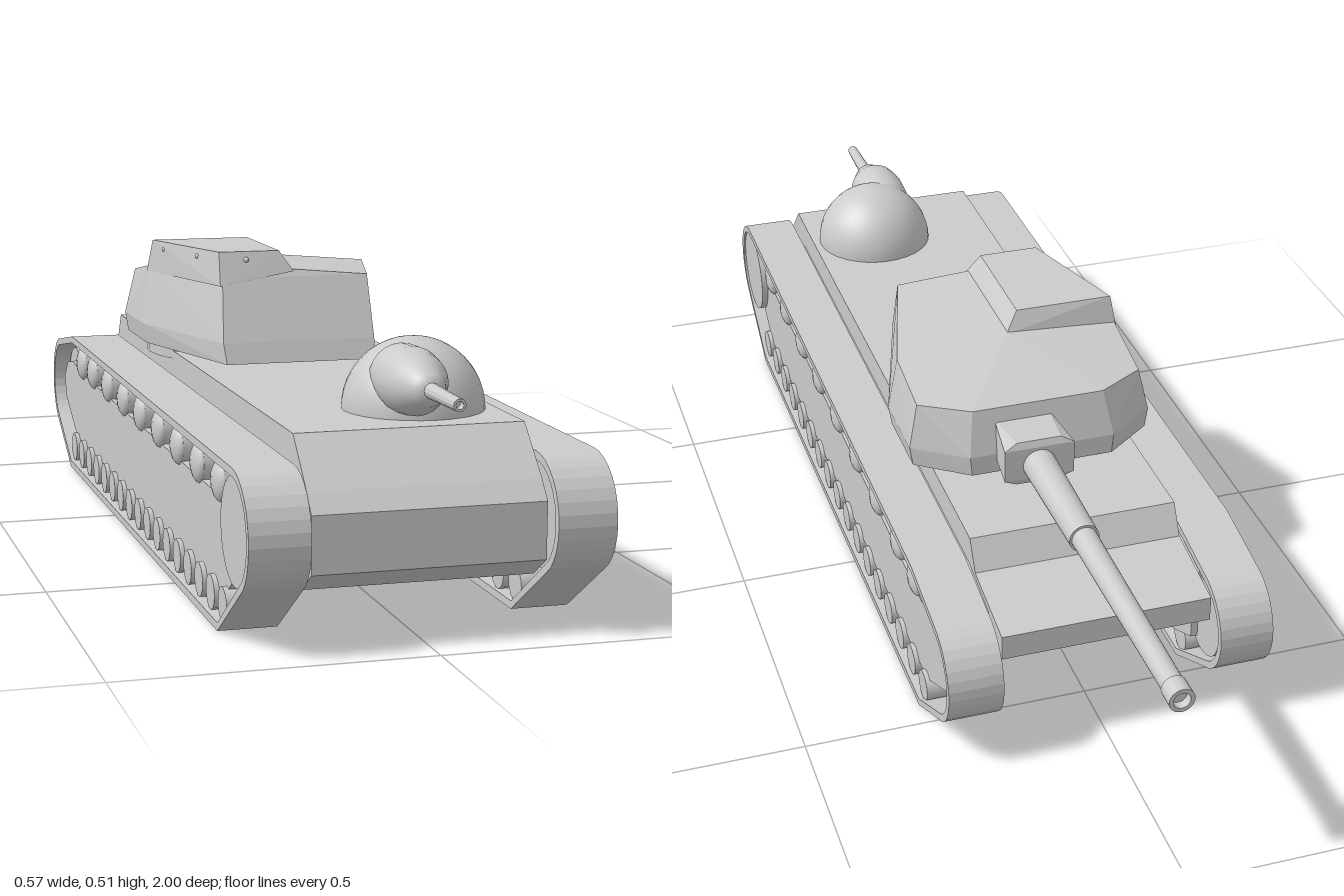
import * as THREE from 'three';
import { ConvexGeometry } from 'three/addons/geometries/ConvexGeometry.js';

const flat = new THREE.MeshStandardMaterial({ color: 0xcccccc, flatShading: true });
const smooth = new THREE.MeshStandardMaterial({ color: 0xcccccc });

function add(parent, name, geometry, material = flat) {
  const mesh = new THREE.Mesh(geometry, material);
  mesh.name = name;
  parent.add(mesh);
  return mesh;
}

const toPoints = (list) => list.map(([a, b]) => new THREE.Vector2(a, b));

// Side profile in (z, y), extruded across x from x0 to x1
function sideExtrude(points, x0, x1, hole) {
  const shape = new THREE.Shape(toPoints(points));
  if (hole) shape.holes.push(new THREE.Path(toPoints(hole)));
  const g = new THREE.ExtrudeGeometry(shape, { depth: x1 - x0, bevelEnabled: false });
  return g.rotateY(-Math.PI / 2).translate(x1, 0, 0);
}

// Cylinder lying across x
function axle(radius, x0, x1, y, z, sides = 24) {
  return new THREE.CylinderGeometry(radius, radius, x1 - x0, sides)
    .rotateZ(Math.PI / 2).translate((x0 + x1) / 2, y, z);
}

// Lathe along z from [radius, z] pairs listed by rising z
function zLathe(profile, x, y, sides = 24) {
  return new THREE.LatheGeometry(toPoints(profile), sides)
    .rotateX(Math.PI / 2).translate(x, y, 0);
}

const convex = (list) => new ConvexGeometry(list.map((p) => new THREE.Vector3(...p)));

// Closed track outline, shrunk inward by d
function trackLoop(d) {
  const pts = [[-0.45, d], [0.79, d]];
  const arc = (z, y, r, a0, a1, n) => {
    for (let i = 0; i <= n; i++) {
      const a = THREE.MathUtils.degToRad(a0 + (a1 - a0) * i / n);
      pts.push([z + (r - d) * Math.cos(a), y + (r - d) * Math.sin(a)]);
    }
  };
  arc(0.881, 0.176, 0.097, -48, 90, 12);
  pts.push([-0.42, 0.273 - d]);
  arc(-0.55, 0.157, 0.092, 105, 240, 12);
  return pts;
}

// One running gear unit on the +x side
function buildRunningGear() {
  const gear = new THREE.Group();
  add(gear, 'trackBand', sideExtrude(trackLoop(0), 0.191, 0.286, trackLoop(0.013)));
  add(gear, 'innerWall', sideExtrude([
    [0.8, 0.06], [0.8, 0.26], [-0.42, 0.26], [-0.53, 0.235], [-0.53, 0.1], [-0.45, 0.06],
  ], 0.183, 0.225));
  add(gear, 'sidePlate', sideExtrude([
    [0.86, 0.11], [0.8, 0.2], [-0.42, 0.2], [-0.5, 0.21], [-0.56, 0.198],
    [-0.595, 0.165], [-0.585, 0.125], [-0.45, 0.053], [0.78, 0.053],
  ], 0.2, 0.27));
  add(gear, 'driveWheel', axle(0.084, 0.195, 0.282, 0.176, 0.881, 32), smooth);
  add(gear, 'idlerWheel', axle(0.072, 0.195, 0.255, 0.157, -0.55, 32), smooth);

  // Return rollers with domed outer caps
  for (const z of [0.743, 0.604, 0.46, 0.315, 0.166, 0.02, -0.128, -0.273, -0.385]) {
    add(gear, 'returnRoller', axle(0.033, 0.2, 0.268, 0.223, z, 14), smooth);
    const cap = add(gear, 'rollerCap', new THREE.SphereGeometry(0.033, 14, 8), smooth);
    cap.scale.x = 0.45;
    cap.position.set(0.268, 0.223, z);
  }
  // Road wheels
  for (let i = 0; i < 17; i++) {
    add(gear, 'roadWheel', axle(0.028, 0.197, 0.278, 0.041, 0.79 - i * 0.0775, 14), smooth);
  }
  return gear;
}

function buildTurret() {
  const turret = new THREE.Group();
  turret.name = 'turret';
  add(turret, 'turretRing',
    new THREE.CylinderGeometry(0.207, 0.207, 0.025, 48).translate(0, 0.311, -0.045), smooth);

  // Faceted shell: bottom and waist rings, then the sloping roof
  const plan = [[0.135, 0.265], [0.222, -0.04], [0.222, -0.185], [0.13, -0.25],
    [-0.135, -0.25], [-0.224, -0.185], [-0.224, -0.02], [-0.14, 0.265]];
  const shell = [];
  for (const [x, z] of plan) {
    shell.push([x * 0.975, 0.319, z], [x, 0.355, z > 0 ? z - 0.012 : z]);
  }
  shell.push([0.135, 0.463, 0.207], [0.206, 0.457, -0.05], [0.206, 0.437, -0.18],
    [0.12, 0.437, -0.23], [-0.12, 0.437, -0.23], [-0.205, 0.437, -0.18],
    [-0.208, 0.46, -0.04], [-0.13, 0.463, 0.207], [0, 0.475, 0.2], [0, 0.475, -0.05]);
  add(turret, 'turretShell', convex(shell));

  // Raised roof on the right half
  add(turret, 'raisedRoof', convex([
    [-0.203, 0.508, -0.03], [-0.133, 0.508, 0.193], [-0.024, 0.508, 0.193], [-0.024, 0.508, -0.03],
    [-0.211, 0.45, -0.045], [-0.136, 0.45, 0.215], [0, 0.472, 0.206], [0, 0.472, -0.047],
  ]));
  for (const [x, z] of [[-0.19, 0.01], [-0.155, 0.125], [-0.085, 0.199]]) {
    add(turret, 'rivet', new THREE.SphereGeometry(0.005, 8, 6).translate(x, 0.494, z), smooth);
  }

  // Main gun pointing to the rear
  add(turret, 'mantlet', convex([-1, 1].flatMap((s) => [-1, 1].flatMap((t) => [
    [0.028 + s * 0.05, 0.375 + t * 0.035, -0.22],
    [0.028 + s * 0.063, 0.375 + t * 0.03, -0.325],
    [0.028 + s * 0.04, 0.375 + t * 0.042, -0.32],
  ]))));
  add(turret, 'mainGun', zLathe([
    [0, -0.985], [0.014, -0.985], [0.014, -1], [0.021, -1], [0.021, -0.965], [0.0185, -0.965],
    [0.022, -0.56], [0.026, -0.56], [0.03, -0.3],
  ], 0.028, 0.37));
  return turret;
}

function buildFrontDome() {
  const dome = new THREE.Group();
  dome.name = 'frontDome';
  add(dome, 'domeShell', new THREE.SphereGeometry(0.114, 32, 12, 0, Math.PI * 2, 0, Math.PI / 2)
    .translate(0.057, 0.313, 0.695), smooth);
  add(dome, 'gunBall', zLathe([
    [0.03, 0.68], [0.052, 0.73], [0.054, 0.78], [0.049, 0.815], [0.036, 0.845],
    [0.026, 0.868], [0.014, 0.878], [0, 0.879],
  ], 0.024, 0.371), smooth);
  add(dome, 'smallGun', zLathe([
    [0.013, 0.86], [0.01, 1], [0.006, 1], [0.006, 0.985], [0, 0.985],
  ], 0.024, 0.372, 12));
  return dome;
}

export function createModel() {
  const model = new THREE.Group();
  model.name = 'tank';

  add(model, 'hull', sideExtrude([
    [0.85, 0.313], [0.925, 0.24], [0.95, 0.21], [0.95, 0.12], [0.9, 0.086],
    [-0.46, 0.086], [-0.605, 0.19], [-0.605, 0.235], [-0.455, 0.262], [-0.425, 0.313],
  ], -0.184, 0.184));

  // Both running gear units, the right one turned to lie opposite
  const left = buildRunningGear();
  left.name = 'leftRunningGear';
  const right = buildRunningGear();
  right.name = 'rightRunningGear';
  right.scale.x = -1;
  model.add(left, right, buildTurret(), buildFrontDome());
  return model;
}
